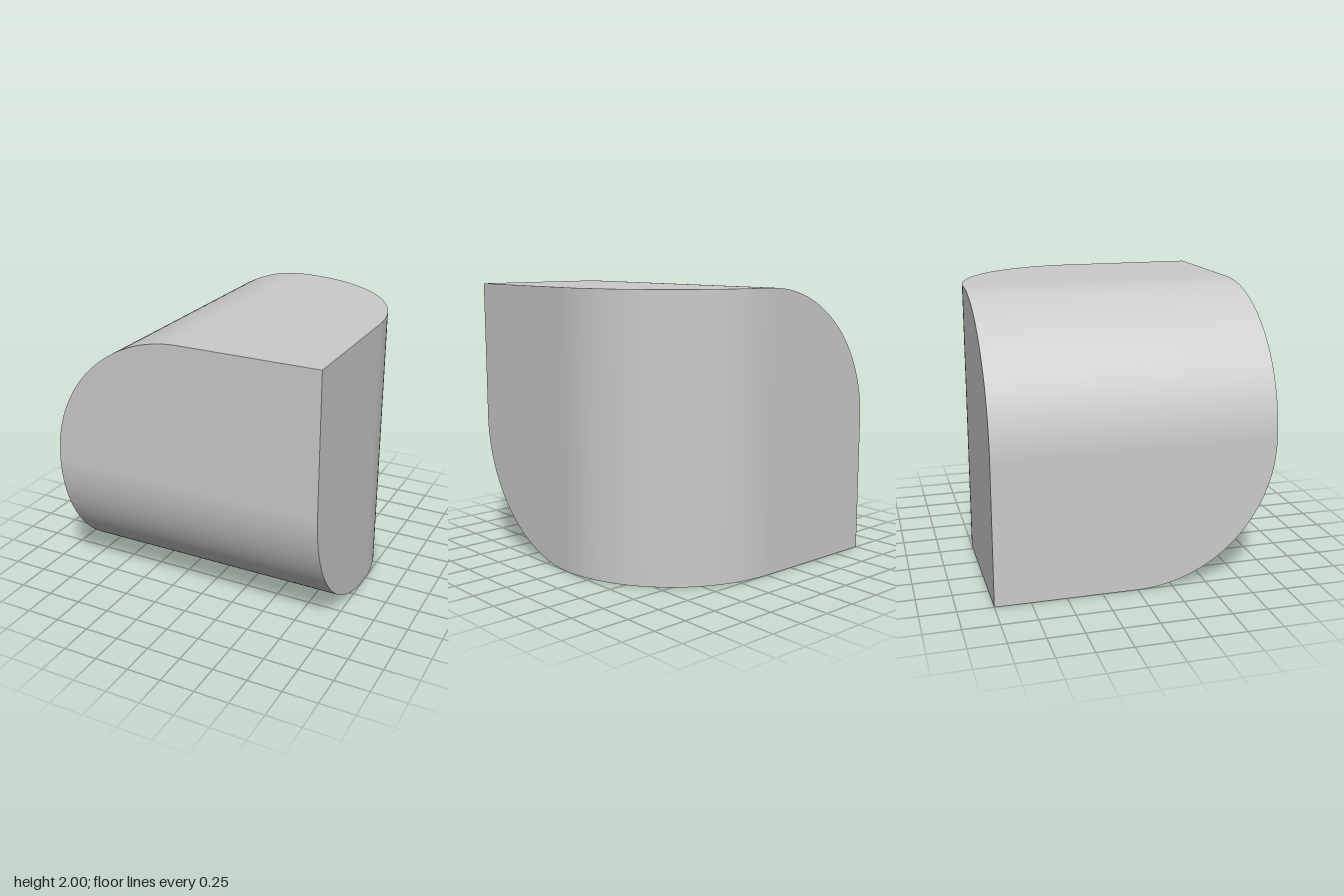
import * as THREE from 'three';

const SEGMENTS = 48;

// Flat face: a unit square joined to a quarter disc
function flatFace() {
  const s = new THREE.Shape();
  s.moveTo(-1, 0);
  s.lineTo(1, 0);
  s.lineTo(1, 1);
  s.lineTo(0, 1);
  s.absarc(0, 0, 1, Math.PI / 2, Math.PI, false);
  return new THREE.ShapeGeometry(s, SEGMENTS).translate(0, 0, 1);
}

export function createModel() {
  const model = new THREE.Group();
  model.name = 'roundedCube';
  const material = new THREE.MeshStandardMaterial({ color: 0xcccccc });

  // Quarter cylinder that rounds one edge of the cube (upper right edge, along z)
  const roundedEdge = new THREE.CylinderGeometry(1, 1, 2, SEGMENTS, 1, true, Math.PI, Math.PI / 2)
    .rotateX(Math.PI / 2);

  // The two flat faces that close its ends; the far one is the near one turned half round
  const nearFace = flatFace();
  const halfTurn = new THREE.Matrix4()
    .makeRotationAxis(new THREE.Vector3(1, -1, 0).normalize(), Math.PI);
  const farFace = flatFace().applyMatrix4(halfTurn);

  // Three skew edges are rounded: repeat the set about the cube's diagonal
  const diagonal = new THREE.Vector3(1, 1, 1).normalize();
  for (let i = 0; i < 3; i++) {
    const side = new THREE.Group();
    side.name = `roundedSide${i + 1}`;
    const parts = { roundedEdge, nearFace, farFace };
    for (const [name, geometry] of Object.entries(parts)) {
      const mesh = new THREE.Mesh(geometry, material);
      mesh.name = name;
      side.add(mesh);
    }
    side.quaternion.setFromAxisAngle(diagonal, (i * 2 * Math.PI) / 3);
    side.position.y = 1;
    model.add(side);
  }
  return model;
}
